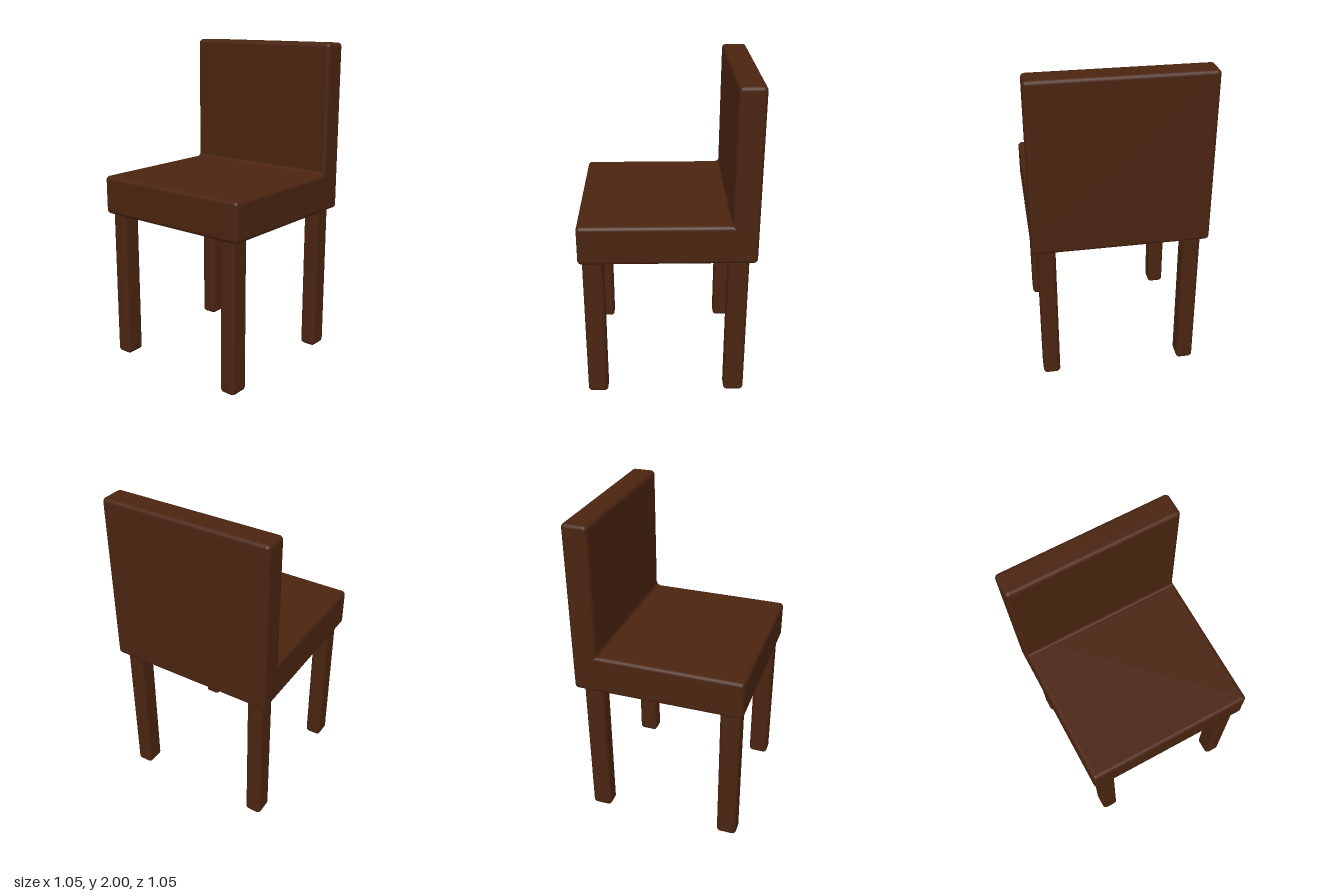
import * as THREE from 'three';
import { RoundedBoxGeometry } from 'three/addons/geometries/RoundedBoxGeometry.js';

export function createModel() {
  const chair = new THREE.Group();
  chair.name = 'chair';
  const wood = new THREE.MeshStandardMaterial({ color: 0x4a2410 });
  wood.name = 'dark brown wood';

  // Rounded block given by its lower and upper corners
  function block(name, min, max, radius) {
    const size = max.map((v, i) => v - min[i]);
    const mesh = new THREE.Mesh(new RoundedBoxGeometry(...size, 4, radius), wood);
    mesh.name = name;
    mesh.position.set(...max.map((v, i) => (v + min[i]) / 2));
    chair.add(mesh);
  }

  // Seat and backrest share their bottom, side and outer faces
  const half = 0.527, bottom = 0.945, seatTop = 1.188, backInner = 0.372, round = 0.025;
  block('seat', [-half, bottom, -half], [half, seatTop, half], round);
  block('backrest', [backInner, bottom, -half], [half, 2, half], round);

  // Small cove softening the corner between seat and backrest
  const cove = 0.02, coveLength = 2 * (half - 0.012);
  const coveShape = new THREE.Shape();
  coveShape.moveTo(backInner - cove, seatTop);
  coveShape.lineTo(backInner + 0.01, seatTop - 0.01);
  coveShape.lineTo(backInner, seatTop + cove);
  coveShape.quadraticCurveTo(backInner, seatTop, backInner - cove, seatTop);
  const coveGeometry = new THREE.ExtrudeGeometry(coveShape, {
    depth: coveLength, bevelEnabled: false, curveSegments: 5,
  });
  coveGeometry.translate(0, 0, -coveLength / 2);
  const coveMesh = new THREE.Mesh(coveGeometry, wood);
  coveMesh.name = 'seatCove';
  chair.add(coveMesh);

  // Four legs with softened edges, slightly deeper than wide, tucked into the seat
  const legX = 0.063, legZ = 0.053;
  for (const [side, x] of [['Left', 0.42], ['Right', -0.442]]) {
    for (const [end, z] of [['front', 0.438], ['back', -0.435]]) {
      block(`${end}${side}Leg`, [x - legX, 0, z - legZ], [x + legX, 1, z + legZ], round);
    }
  }
  return chair;
}
